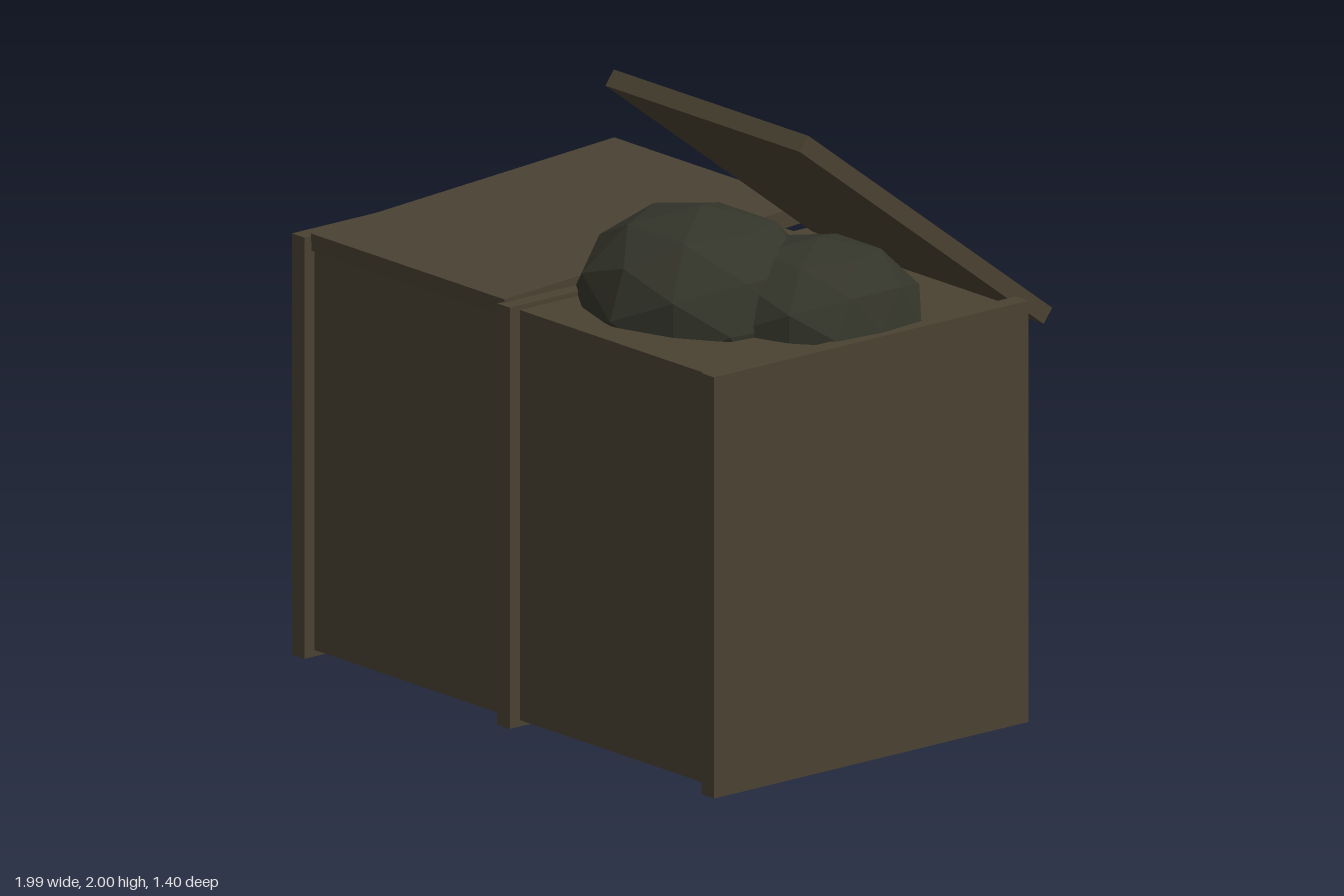
import * as THREE from 'three';

export function createModel() {
  const group = new THREE.Group();
  const wood = new THREE.MeshStandardMaterial({ color: 0x4a4232 });
  wood.name = 'weathered brown';
  const plastic = new THREE.MeshStandardMaterial({ color: 0x34352a });
  plastic.name = 'dark bag';

  function box(name, w, h, d, x, y, z, tilt = 0) {
    const mesh = new THREE.Mesh(new THREE.BoxGeometry(w, h, d), wood);
    mesh.name = name;
    mesh.position.set(x, y, z);
    mesh.rotation.x = tilt;
    group.add(mesh);
  }

  // Upright side panels and the divider
  const panels = { rightPanel: -0.965, divider: 0, leftPanel: 0.96 };
  for (const [name, x] of Object.entries(panels)) {
    box(name, 0.06, 1.335, 1.25, x, 0.6675, 0.075);
  }

  // The two bin bodies, slightly inset between the panels
  box('rightBin', 0.91, 1.3, 1.17, -0.482, 0.67, 0.075);
  box('leftBin', 0.91, 1.3, 1.17, 0.48, 0.67, 0.075);

  // Closed lid sloping to the front, and the open lid
  box('closedLid', 0.91, 0.056, 1.208, -0.477, 1.352, 0.073, 0.058);
  box('openLid', 0.915, 0.056, 1.215, 0.467, 1.613, -0.198, -0.648);

  // Faceted rubbish bags, squashed and a little blunt at the sides
  function bag(name, rx, ry, rz, x, y, z) {
    const geo = new THREE.IcosahedronGeometry(1, 1);
    const p = geo.attributes.position;
    for (let i = 0; i < p.count; i++) {
      const bx = THREE.MathUtils.clamp(p.getX(i) * rx * 1.11, -rx, rx);
      p.setXYZ(i, bx, p.getY(i) * ry, p.getZ(i) * rz);
    }
    geo.computeVertexNormals();
    const mesh = new THREE.Mesh(geo, plastic);
    mesh.name = name;
    mesh.position.set(x, y, z);
    group.add(mesh);
  }
  bag('largeBag', 0.385, 0.3, 0.365, 0.34, 1.335, 0.2);
  bag('smallBag', 0.3, 0.235, 0.32, 0.66, 1.335, 0.005);

  return group;
}
